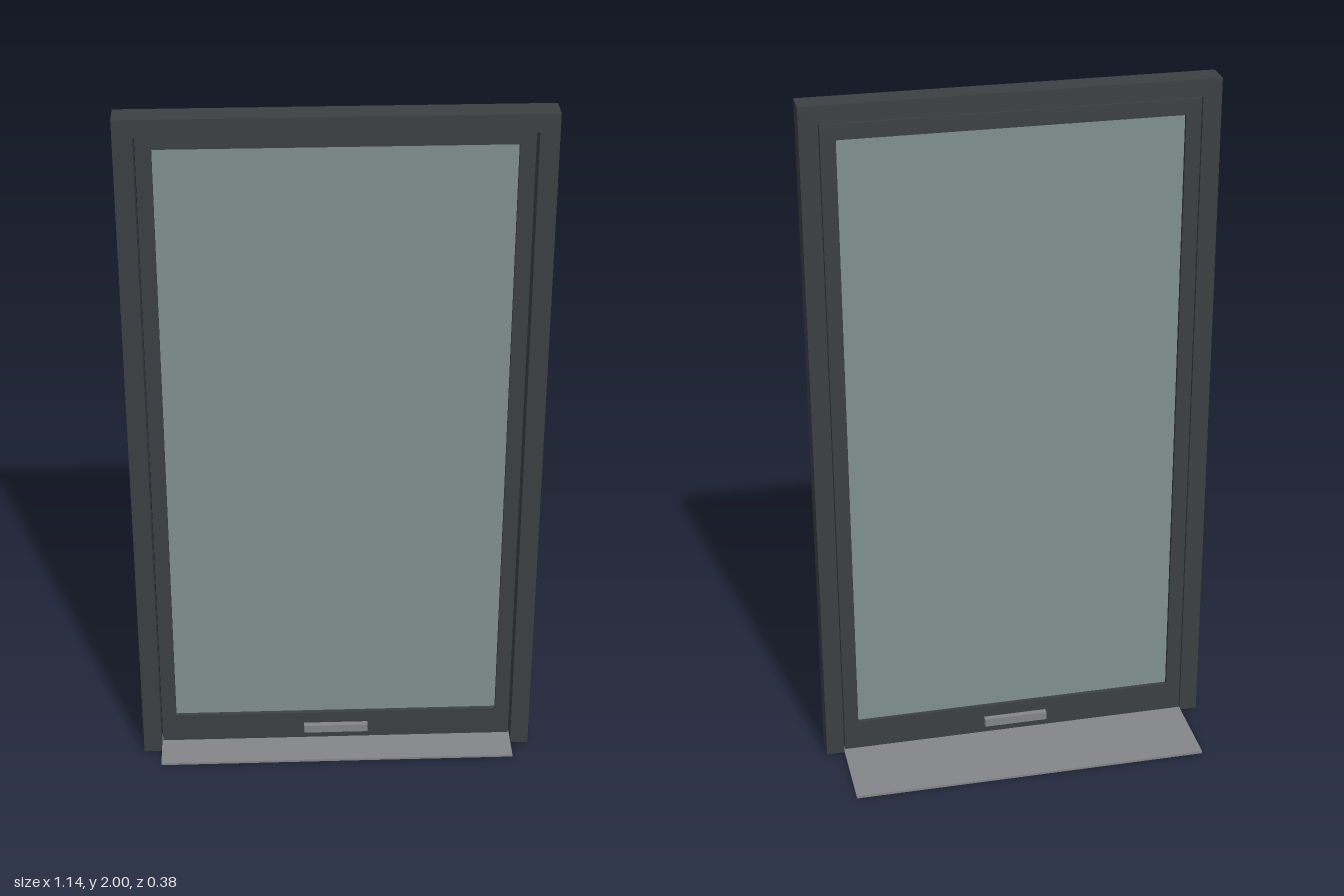
import * as THREE from 'three';

const frameMat = new THREE.MeshStandardMaterial({ color: 0x3c4043 });
const glassMat = new THREE.MeshStandardMaterial({ color: 0x80908f });
const metalMat = new THREE.MeshStandardMaterial({ color: 0x84868a });

// Box given by its [min, max] extent on each axis
function box(name, mat, [x0, x1], [y0, y1], [z0, z1]) {
  const mesh = new THREE.Mesh(new THREE.BoxGeometry(x1 - x0, y1 - y0, z1 - z0), mat);
  mesh.position.set((x0 + x1) / 2, (y0 + y1) / 2, (z0 + z1) / 2);
  mesh.name = name;
  return mesh;
}

// Extrude a closed outline, with optional hole, from z0 to z1
function slab(name, mat, outline, hole, z0, z1) {
  const toPoints = (pts) => pts.map(([x, y]) => new THREE.Vector2(x, y));
  const shape = new THREE.Shape(toPoints(outline));
  if (hole) shape.holes.push(new THREE.Path(toPoints(hole)));
  const geo = new THREE.ExtrudeGeometry(shape, { depth: z1 - z0, bevelEnabled: false });
  geo.translate(0, 0, z0);
  const mesh = new THREE.Mesh(geo, mat);
  mesh.name = name;
  return mesh;
}

const rect = (hw, y0, y1) => [[-hw, y0], [hw, y0], [hw, y1], [-hw, y1]];

export function createModel() {
  const group = new THREE.Group();
  group.name = 'glazedDoor';

  const W = 0.57, H = 2, inner = 0.518, head = 1.95;
  const back = 0.048, front = 0.122, leafFront = 0.085;

  // Outer frame: two jambs and a head, open at the floor
  group.add(slab('outerFrame', frameMat, [
    [-W, 0], [-inner, 0], [-inner, head], [inner, head],
    [inner, 0], [W, 0], [W, H], [-W, H],
  ], null, back, front));

  // Door leaf, flush with the back of the frame, with a taller bottom rail
  group.add(slab('doorLeaf', frameMat, rect(inner - 0.003, 0.01, head - 0.003),
    rect(0.473, 0.1, 1.903), back + 0.001, leafFront));

  // Glass pane
  group.add(box('glassPane', glassMat, [-0.473, 0.473], [0.1, 1.903], [0.061, 0.073]));

  // Pull handles on both faces of the bottom rail
  group.add(box('frontHandle', metalMat, [-0.095, 0.093], [0.038, 0.063], [leafFront, leafFront + 0.016]));
  group.add(box('backHandle', metalMat, [-0.095, 0.093], [0.038, 0.063], [back - 0.016, back + 0.001]));

  // Threshold plate on the floor
  group.add(box('thresholdPlate', metalMat, [-inner, inner], [0, 0.007], [-0.19, 0.19]));

  return group;
}
